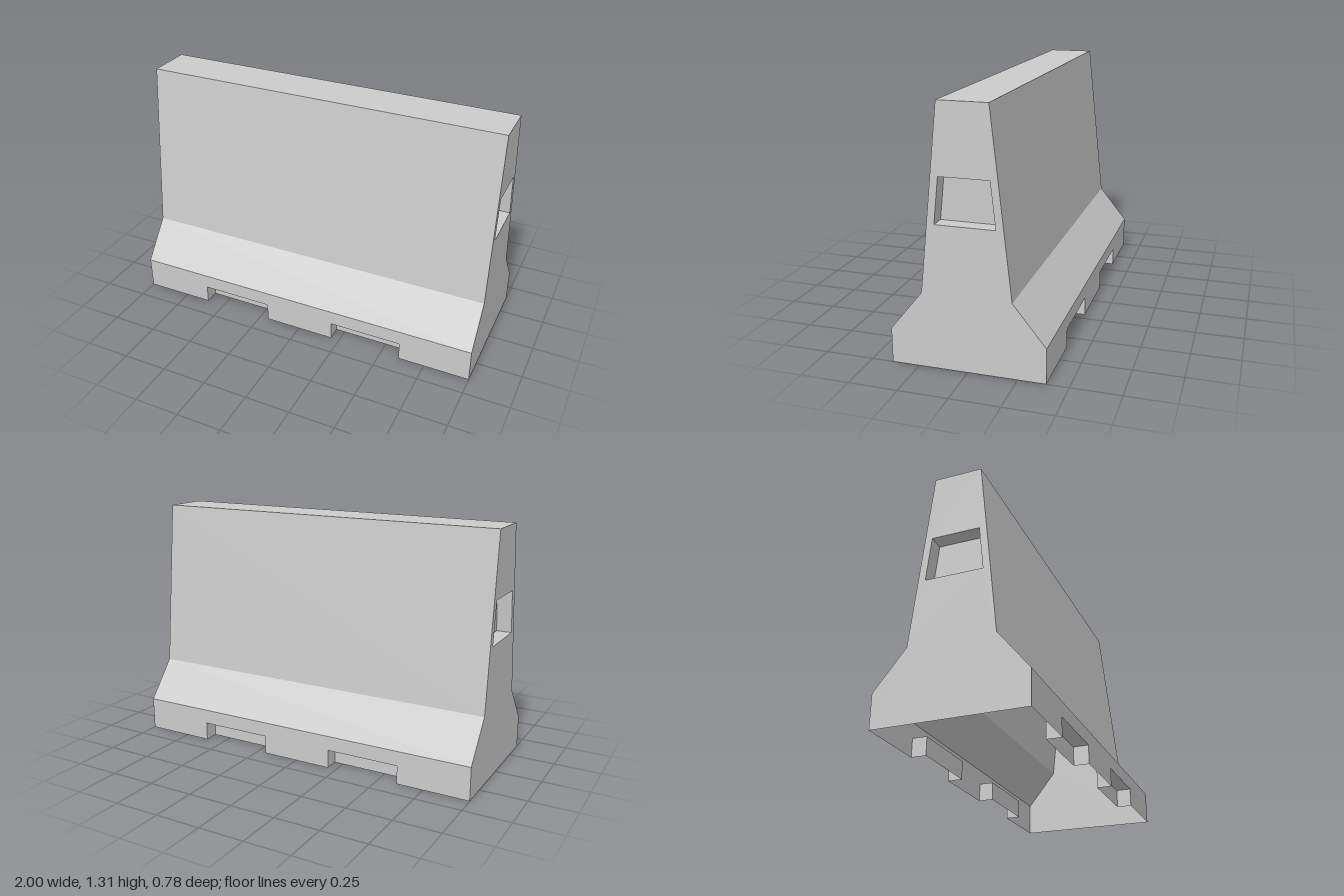
import * as THREE from 'three';

const material = new THREE.MeshStandardMaterial({ color: 0xcccccc, flatShading: true, side: THREE.DoubleSide });

const BASE_Z = 0.39, LIP_Y = 0.18;          // foot of the barrier
const NOTCH_H = 0.1, NOTCH_D = 0.08;        // drainage / forklift slots
const POCKET_D = 0.08;                      // end pockets
const NOTCHES = [[-0.605, -0.2], [0.2, 0.605]];
const POCKET = [[-0.15, 0.73], [0.15, 0.73], [0.125, 0.96], [-0.125, 0.96]]; // [z, y]

function addMesh(parent, name, geometry) {
  const mesh = new THREE.Mesh(geometry, material);
  mesh.name = name;
  parent.add(mesh);
  return mesh;
}

// Sweeps a polyline along a straight vector into a strip of flat faces
function ribbon(points, sweep) {
  const pos = [];
  for (let i = 0; i < points.length - 1; i++) {
    const a = new THREE.Vector3(...points[i]);
    const b = new THREE.Vector3(...points[i + 1]);
    const as = a.clone().add(sweep), bs = b.clone().add(sweep);
    for (const p of [a, as, b, as, bs, b]) pos.push(p.x, p.y, p.z);
  }
  const geometry = new THREE.BufferGeometry();
  geometry.setAttribute('position', new THREE.Float32BufferAttribute(pos, 3));
  geometry.computeVertexNormals();
  return geometry;
}

const outline = (pts) => pts.map(([x, y]) => new THREE.Vector2(x, y));

// Vertical foot of one long side, with its two slots
function makeFoot() {
  const foot = new THREE.Group();
  const edge = [[-1, LIP_Y], [-1, 0]];
  for (const [x0, x1] of NOTCHES) {
    const arch = [[x0, 0], [x0, NOTCH_H], [x1, NOTCH_H], [x1, 0]];
    edge.push(...arch);
    addMesh(foot, 'slotWalls',
      ribbon(arch.map(([x, y]) => [x, y, BASE_Z]), new THREE.Vector3(0, 0, -NOTCH_D)));
    addMesh(foot, 'slotBack', new THREE.PlaneGeometry(x1 - x0, NOTCH_H))
      .position.set((x0 + x1) / 2, NOTCH_H / 2, BASE_Z - NOTCH_D);
  }
  edge.push([1, 0], [1, LIP_Y]);
  addMesh(foot, 'footWall', new THREE.ShapeGeometry(new THREE.Shape(outline(edge))))
    .position.z = BASE_Z;
  return foot;
}

// End wall with a recessed pocket
function makeEnd(profile) {
  const end = new THREE.Group();
  const flip = ([z, y]) => [-z, y];
  const shape = new THREE.Shape(outline([[BASE_Z, 0], ...profile, [-BASE_Z, 0]].map(flip)));
  shape.holes.push(new THREE.Path(outline(POCKET.map(flip))));
  addMesh(end, 'endWall', new THREE.ShapeGeometry(shape).rotateY(Math.PI / 2)).position.x = 1;
  addMesh(end, 'pocketWalls',
    ribbon([...POCKET, POCKET[0]].map(([z, y]) => [1, y, z]), new THREE.Vector3(-POCKET_D, 0, 0)));
  const back = new THREE.Shape(outline(POCKET.map(flip)));
  addMesh(end, 'pocketBack', new THREE.ShapeGeometry(back).rotateY(Math.PI / 2))
    .position.x = 1 - POCKET_D;
  return end;
}

export function createModel() {
  const model = new THREE.Group();
  model.name = 'roadBarrier';

  // Cross-section above the foot, front to back, as [z, y]
  const half = [[BASE_Z, LIP_Y], [0.225, 0.385], [0.125, 1.31]];
  const profile = [...half, ...half.map(([z, y]) => [-z, y]).reverse()];

  // Sloped sides and flat top; the underside is open
  addMesh(model, 'slopesAndTop',
    ribbon(profile.map(([z, y]) => [-1, y, z]), new THREE.Vector3(2, 0, 0)));

  // Each long side and each end repeats, turned half way round
  for (const [turn, side, end] of [[0, 'front', 'left'], [Math.PI, 'back', 'right']]) {
    const foot = makeFoot();
    foot.name = side + 'Foot';
    const cap = makeEnd(profile);
    cap.name = end + 'End';
    for (const part of [foot, cap]) {
      part.rotation.y = turn;
      model.add(part);
    }
  }
  return model;
}
